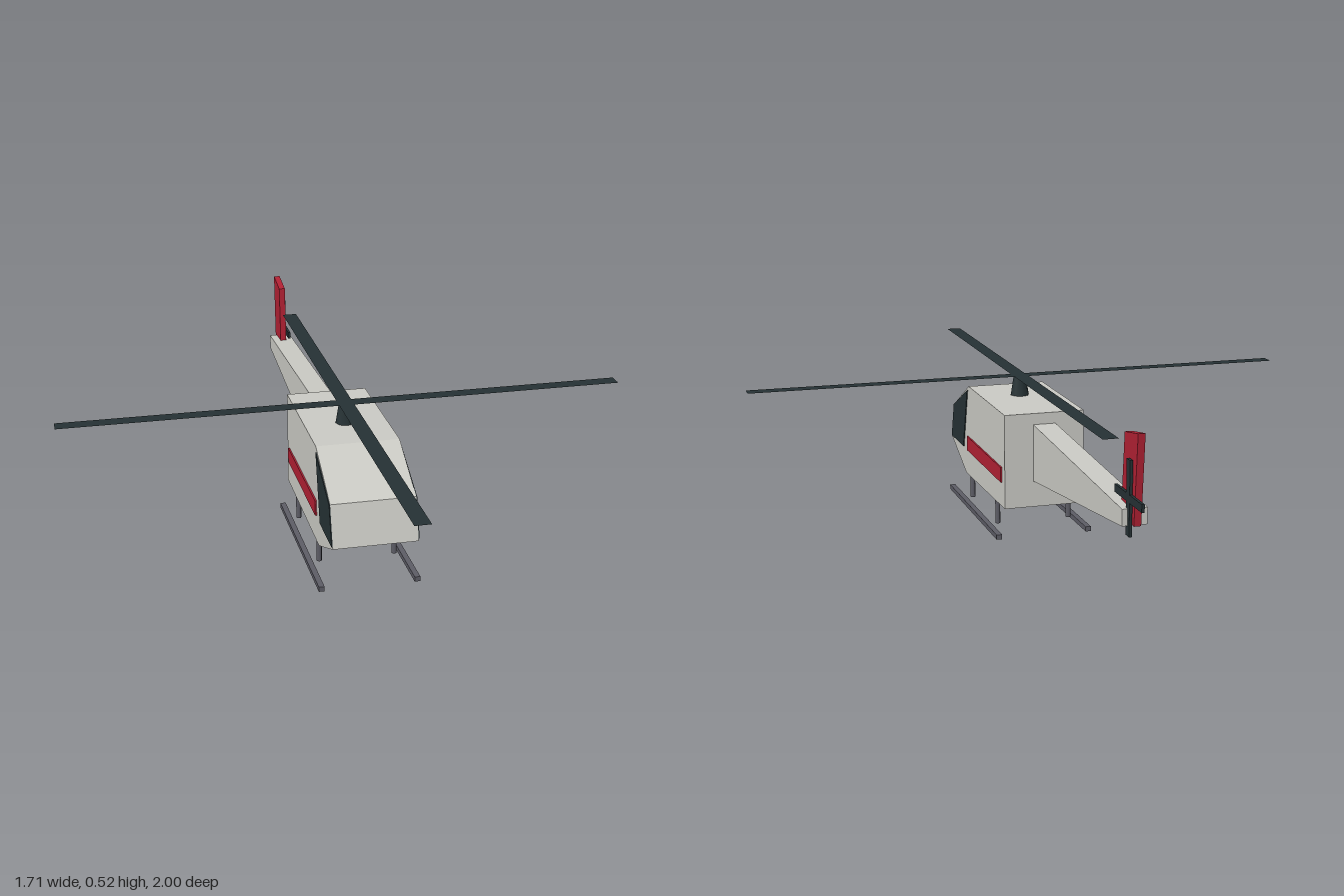
import * as THREE from 'three';

const material = (name, color, side = THREE.FrontSide) => {
  const m = new THREE.MeshStandardMaterial({ color, side });
  m.name = name;
  return m;
};

export function createModel() {
  const model = new THREE.Group();
  model.name = 'helicopter';
  const grey = material('hullGrey', 0xc9c9c3);
  const red = material('trimRed', 0xb02033);
  const dark = material('darkGlassAndBlades', 0x253134, THREE.DoubleSide);
  const steel = material('skidSteel', 0x5c5c65);

  const add = (name, geometry, mat, x = 0, y = 0, z = 0) => {
    const mesh = new THREE.Mesh(geometry, mat);
    mesh.name = name;
    mesh.position.set(x, y, z);
    model.add(mesh);
    return mesh;
  };

  // Side profile given as [z, y] points, extruded to a width centred on x
  const profile = (points, width) => {
    const shape = new THREE.Shape(points.map(([z, y]) => new THREE.Vector2(z, y)));
    return new THREE.ExtrudeGeometry(shape, { depth: width, bevelEnabled: false })
      .translate(0, 0, -width / 2)
      .rotateY(-Math.PI / 2);
  };

  // Cabin, tail boom and fin
  add('cabin', profile([[0.53, 0.165], [0.495, 0.288], [0.305, 0.387], [-0.12, 0.387],
    [-0.12, 0.095], [0.345, 0.087]], 0.25), grey);
  add('tailBoom', profile([[-0.11, 0.353], [-0.9, 0.313], [-0.9, 0.267], [-0.11, 0.175]], 0.07), grey);
  add('tailFin', profile([[-0.843, 0.503], [-0.94, 0.52], [-0.92, 0.27], [-0.825, 0.285]], 0.02), red);

  // Side windows, stripes and landing gear, mirrored
  for (const [side, s] of [['left', 1], ['right', -1]]) {
    add(side + 'Window', profile([[0.315, 0.372], [0.37, 0.171], [0.528, 0.171], [0.495, 0.286]], 0.006),
      dark, s * 0.125);
    add(side + 'Stripe', new THREE.BoxGeometry(0.009, 0.047, 0.405), red, s * 0.1255, 0.195, 0.113);
    add(side + 'Skid', new THREE.BoxGeometry(0.017, 0.015, 0.585), steel, s * 0.143, 0.0075, 0.172);
    for (const z of [0.3, -0.003]) {
      add(side + 'Strut', new THREE.CylinderGeometry(0.008, 0.008, 0.08, 8), steel, s * 0.115, 0.056, z);
    }
  }

  // Main rotor: tapered mast and two flat crossed blades
  const mastZ = 0.143;
  add('rotorMast', new THREE.CylinderGeometry(0.02, 0.03, 0.062, 8), dark, 0, 0.416, mastZ);
  for (const [w, d] of [[1.71, 0.046], [0.046, 1.71]]) {
    add('mainBlade', new THREE.PlaneGeometry(w, d).rotateX(-Math.PI / 2), dark, 0, 0.45, mastZ);
  }

  // Tail rotor on the left of the fin
  for (const [h, d] of [[0.204, 0.025], [0.022, 0.2]]) {
    add('tailBlade', new THREE.BoxGeometry(0.008, h, d), dark, 0.016, 0.342, -0.9);
  }
  return model;
}
